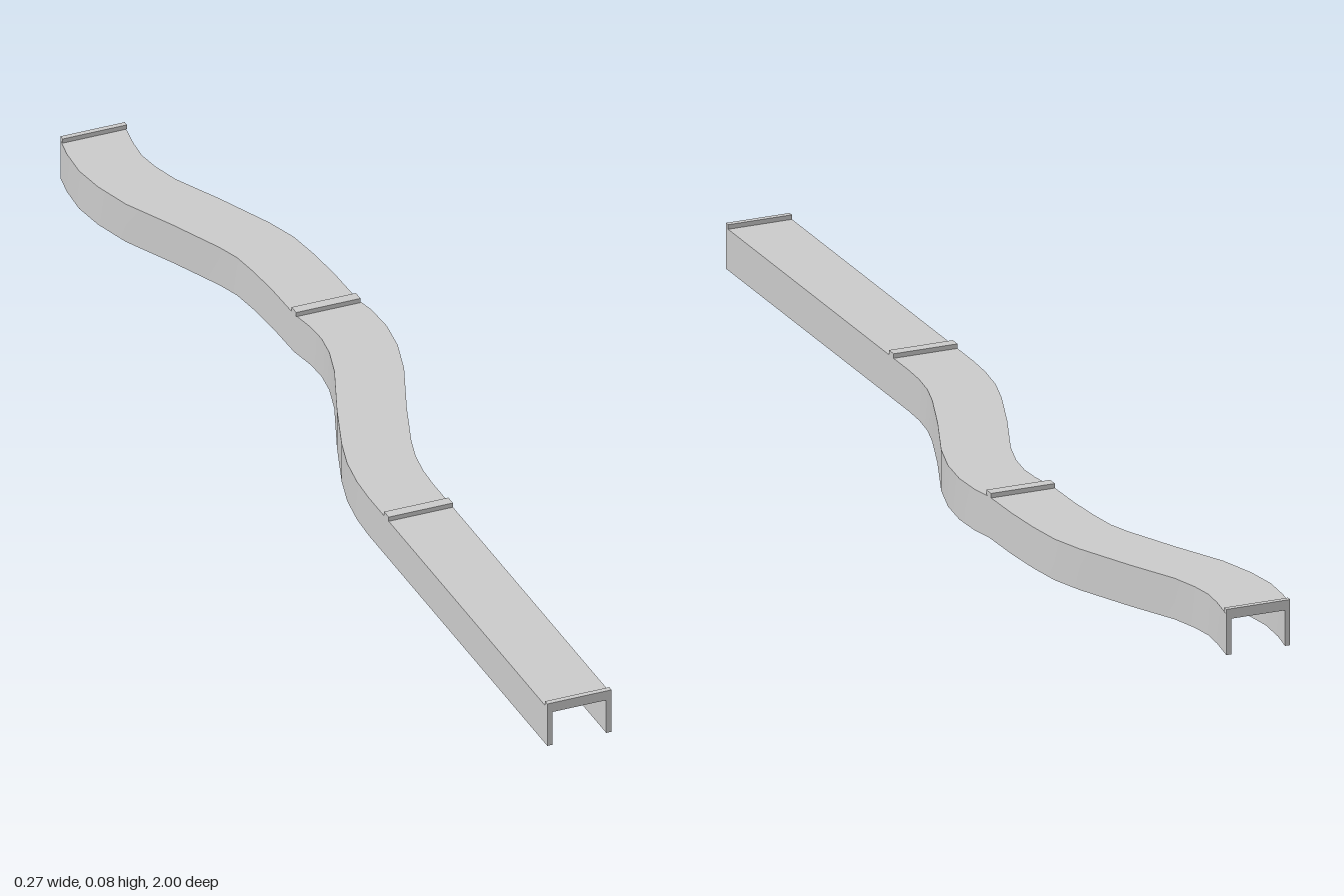
import * as THREE from 'three';
import { toCreasedNormals } from 'three/addons/utils/BufferGeometryUtils.js';

const W = 0.0575;      // half width of the channel
const H = 0.072;       // channel height
const T = 0.0095;      // wall thickness
const LIP = 0.008;     // joint lip height above the roof

// Centre line [x, z] of each section, from its back end to its front end
const SECTIONS = {
  backBend: [[-0.065, -1], [-0.073, -0.95], [-0.076, -0.9], [-0.069, -0.85], [-0.052, -0.79],
    [-0.009, -0.7], [0.034, -0.6], [0.05, -0.55], [0.058, -0.49], [0.063, -0.42], [0.065, -1 / 3]],
  middleBend: [[0.065, -1 / 3], [0.073, -0.29], [0.075, -0.24], [0.068, -0.185], [0.05, -0.12],
    [0.003, 0], [-0.032, 0.1], [-0.047, 0.155], [-0.055, 0.21], [-0.0575, 0.26], [-0.0575, 1 / 3]],
  frontStraight: [[-0.0575, 1 / 3], [-0.0575, 1]],
};

const material = new THREE.MeshStandardMaterial({ color: 0xcccccc });

// Upside-down U cross-section
function channelShape() {
  return new THREE.Shape([
    [-W, 0], [-W + T, 0], [-W + T, H - T], [W - T, H - T],
    [W - T, 0], [W, 0], [W, H], [-W, H],
  ].map(([x, y]) => new THREE.Vector2(x, y)));
}

// Extrude the U in steps, then bend every step onto its point of the centre line
function channel(line) {
  const last = line.length - 1;
  const geo = new THREE.ExtrudeGeometry(channelShape(), { depth: last, steps: last, bevelEnabled: false });
  const pos = geo.attributes.position;
  for (let i = 0; i < pos.count; i++) {
    const k = Math.round(pos.getZ(i));
    const offset = pos.getX(i);
    // Sideways direction: square at the ends, perpendicular to the path between them
    let sx = 1, sz = 0;
    if (k > 0 && k < last) {
      const dx = line[k + 1][0] - line[k - 1][0];
      const dz = line[k + 1][1] - line[k - 1][1];
      const len = Math.hypot(dx, dz);
      sx = dz / len;
      sz = -dx / len;
    }
    pos.setX(i, line[k][0] + offset * sx);
    pos.setZ(i, line[k][1] + offset * sz);
  }
  return toCreasedNormals(geo, Math.PI / 5);
}

// Raised lip across the roof at one end of a section
function lip([x, z], inward) {
  const mesh = new THREE.Mesh(new THREE.BoxGeometry(2 * W, LIP, T), material);
  mesh.position.set(x, H + LIP / 2, z + inward * T / 2);
  return mesh;
}

export function createModel() {
  const model = new THREE.Group();
  model.name = 'windingChannel';
  for (const [name, line] of Object.entries(SECTIONS)) {
    const section = new THREE.Group();
    section.name = name;
    const body = new THREE.Mesh(channel(line), material);
    body.name = 'channel';
    const backLip = lip(line[0], 1);
    backLip.name = 'backLip';
    const frontLip = lip(line[line.length - 1], -1);
    frontLip.name = 'frontLip';
    section.add(body, backLip, frontLip);
    model.add(section);
  }
  return model;
}
